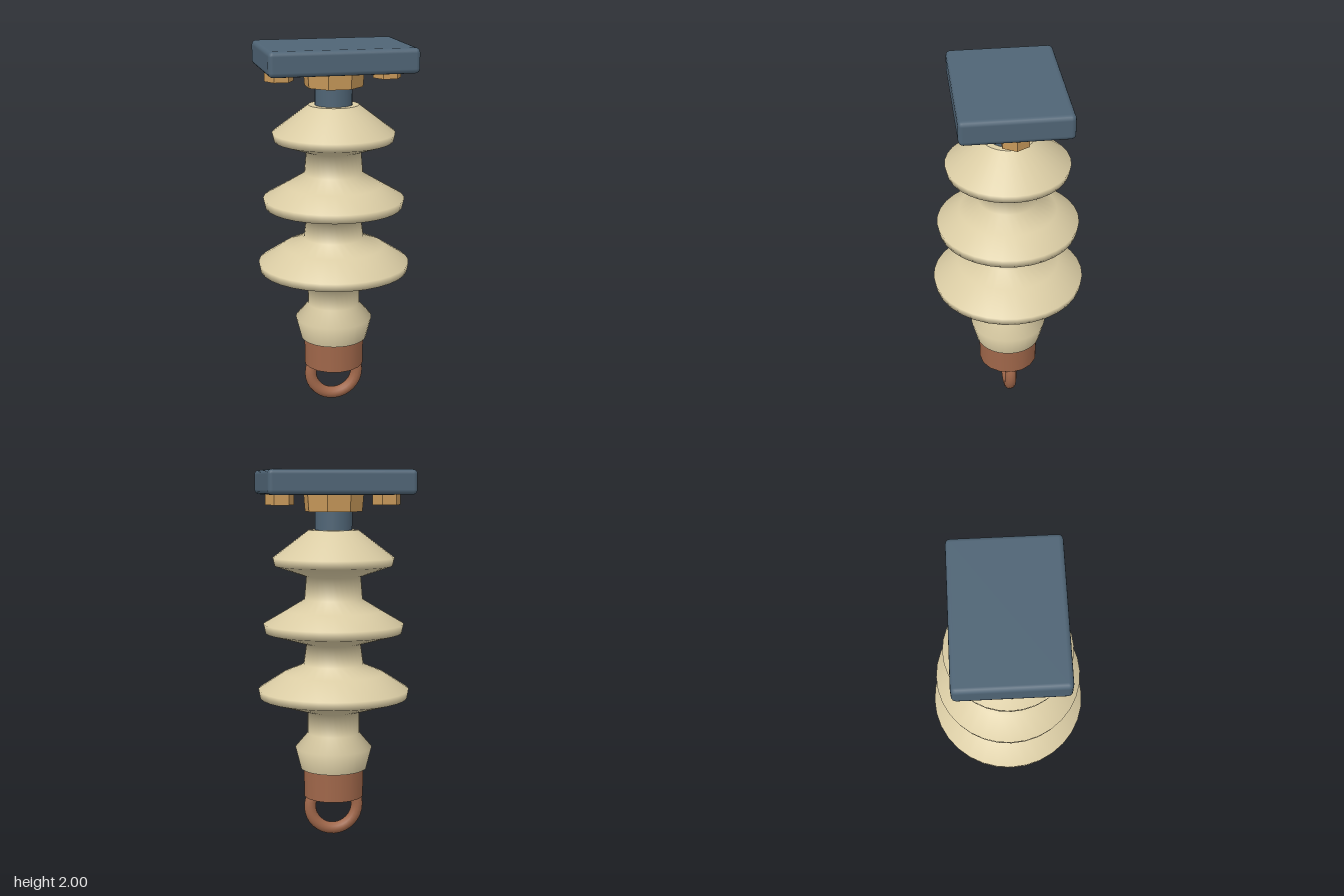
import * as THREE from 'three';
import { RoundedBoxGeometry } from 'three/addons/geometries/RoundedBoxGeometry.js';

export function createModel() {
  const group = new THREE.Group();
  const material = (name, color, flatShading = false) => {
    const m = new THREE.MeshStandardMaterial({ color, flatShading });
    m.name = name;
    return m;
  };
  const slate = material('slate steel', 0x4f6475);
  const cream = material('cream ceramic', 0xdaccA4);
  const brass = material('brass', 0xc8995a, true);
  const copper = material('copper', 0xa0674a);

  const add = (name, geometry, mat, x, y, turn = 0) => {
    const mesh = new THREE.Mesh(geometry, mat);
    mesh.name = name;
    mesh.position.set(x, y, 0);
    mesh.rotation.y = turn;
    group.add(mesh);
    return mesh;
  };

  // Mounting plate with softened edges
  add('mountingPlate', new RoundedBoxGeometry(0.78, 0.13, 0.56, 2, 0.025), slate, 0, 1.935);

  // Hex bolt heads under the plate, points facing sideways
  for (const [side, name] of [[-1, 'rightBolt'], [1, 'leftBolt']]) {
    add(name, new THREE.CylinderGeometry(0.077, 0.077, 0.06, 6), brass, side * 0.29, 1.845, Math.PI / 6);
  }

  // Octagonal collar and the stem through it
  add('collar', new THREE.CylinderGeometry(0.164, 0.156, 0.095, 8), brass, 0, 1.828, Math.PI / 8);
  add('stem', new THREE.CylinderGeometry(0.1, 0.1, 0.24, 24), slate, 0, 1.76);

  // Ribbed insulator body: three sheds growing downwards, then a flared foot
  const profile = [
    [0.18, 0.38], [0.21, 0.497], [0.142, 0.577], [0.142, 0.698],
    [0.402, 0.778], [0.41, 0.822], [0.275, 0.91], [0.163, 0.958],
    [0.148, 1.069], [0.37, 1.132], [0.38, 1.18], [0.26, 1.25], [0.158, 1.312],
    [0.148, 1.434], [0.318, 1.492], [0.328, 1.536], [0.135, 1.683],
  ].map(([r, y]) => new THREE.Vector2(r, y));
  add('insulatorBody', new THREE.LatheGeometry(profile, 32), cream, 0, 0);

  // Flat ends of the insulator
  const end = new THREE.CircleGeometry(1, 32);
  const top = add('insulatorTop', end, cream, 0, 1.683);
  top.scale.setScalar(0.135);
  top.rotation.x = -Math.PI / 2;
  const bottom = add('insulatorBottom', end, cream, 0, 0.38);
  bottom.scale.setScalar(0.18);
  bottom.rotation.x = Math.PI / 2;

  // Copper end cap and hanging ring
  add('endCap', new THREE.CylinderGeometry(0.166, 0.163, 0.16, 16), copper, 0, 0.303);
  add('hangingRing', new THREE.TorusGeometry(0.132, 0.033, 12, 32), copper, 0, 0.165);

  return group;
}
